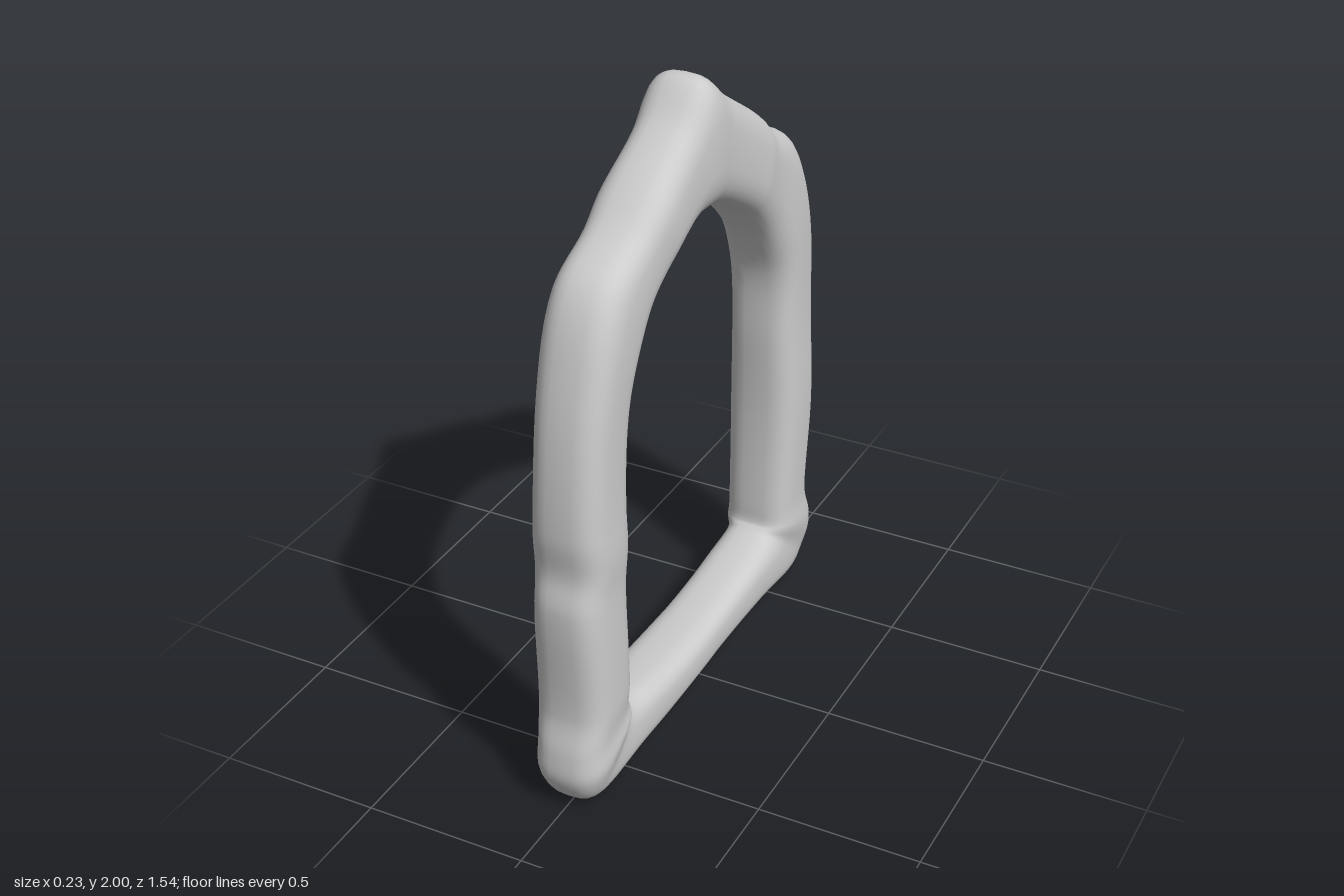
import * as THREE from 'three';

// Stations round the loop: outer z, outer y, inner z, inner y
const stations = [
  // bottom bar and front corner
  [0, .03, 0, .19], [.4, .02, .36, .21], [.7, .012, .465, .23], [.765, .1, .48, .25], [.765, .2, .49, .28],
  // front post
  [.74, .32, .495, .36], [.755, .68, .5, .66], [.735, .79, .495, .8], [.745, .93, .495, .95], [.7, 1.32, .46, 1.27],
  // arch
  [.59, 1.61, .36, 1.44], [.41, 1.71, .25, 1.52], [.3, 1.79, .18, 1.56], [.12, 1.9, .07, 1.59],
  [0, 2, 0, 1.59],
  [-.13, 1.91, -.09, 1.58], [-.37, 1.75, -.27, 1.48], [-.43, 1.69, -.34, 1.42], [-.58, 1.6, -.43, 1.31],
  [-.7, 1.32, -.49, 1.17],
  // back post
  [-.74, .93, -.5, .93], [-.75, .64, -.508, .65], [-.73, .31, -.495, .33],
  // back corner and return
  [-.765, .2, -.49, .26], [-.765, .1, -.48, .25], [-.7, .012, -.46, .24], [-.4, .025, -.34, .215],
];

const closedCurve = (pick) => new THREE.CatmullRomCurve3(stations.map(pick), true);

// Sweep a rounded, flat-sided section between the outer and inner outlines
function createLoopGeometry(rings, sides) {
  const outer = closedCurve(([z, y]) => new THREE.Vector3(0, y, z));
  const inner = closedCurve(([, , z, y]) => new THREE.Vector3(0, y, z));
  const positions = [], index = [];
  const power = (v) => Math.sign(v) * Math.abs(v) ** 0.68;
  for (let i = 0; i < rings; i++) {
    const t = i / rings, o = outer.getPoint(t), n = inner.getPoint(t);
    // slimmer at the bottom bar, with slight waves along the sides
    const halfWidth = 0.1 + 0.014 * THREE.MathUtils.smoothstep(o.y, 0, 0.12) + 0.003 * Math.sin(t * 75);
    for (let j = 0; j < sides; j++) {
      const a = (j / sides) * Math.PI * 2;
      const p = n.clone().lerp(o, 0.5 + 0.5 * power(Math.cos(a)));
      positions.push(halfWidth * power(Math.sin(a)), p.y, p.z);
      const i2 = (i + 1) % rings, j2 = (j + 1) % sides;
      const A = i * sides + j, B = i * sides + j2, C = i2 * sides + j, D = i2 * sides + j2;
      index.push(A, B, C, B, D, C);
    }
  }
  const geometry = new THREE.BufferGeometry();
  geometry.setAttribute('position', new THREE.Float32BufferAttribute(positions, 3));
  geometry.setIndex(index);
  geometry.computeVertexNormals();
  return geometry;
}

export function createModel() {
  const group = new THREE.Group();
  const arch = new THREE.Mesh(
    createLoopGeometry(stations.length * 6, 32),
    new THREE.MeshStandardMaterial({ color: 0xcccccc })
  );
  arch.name = 'archFrame';
  group.add(arch);
  return group;
}
